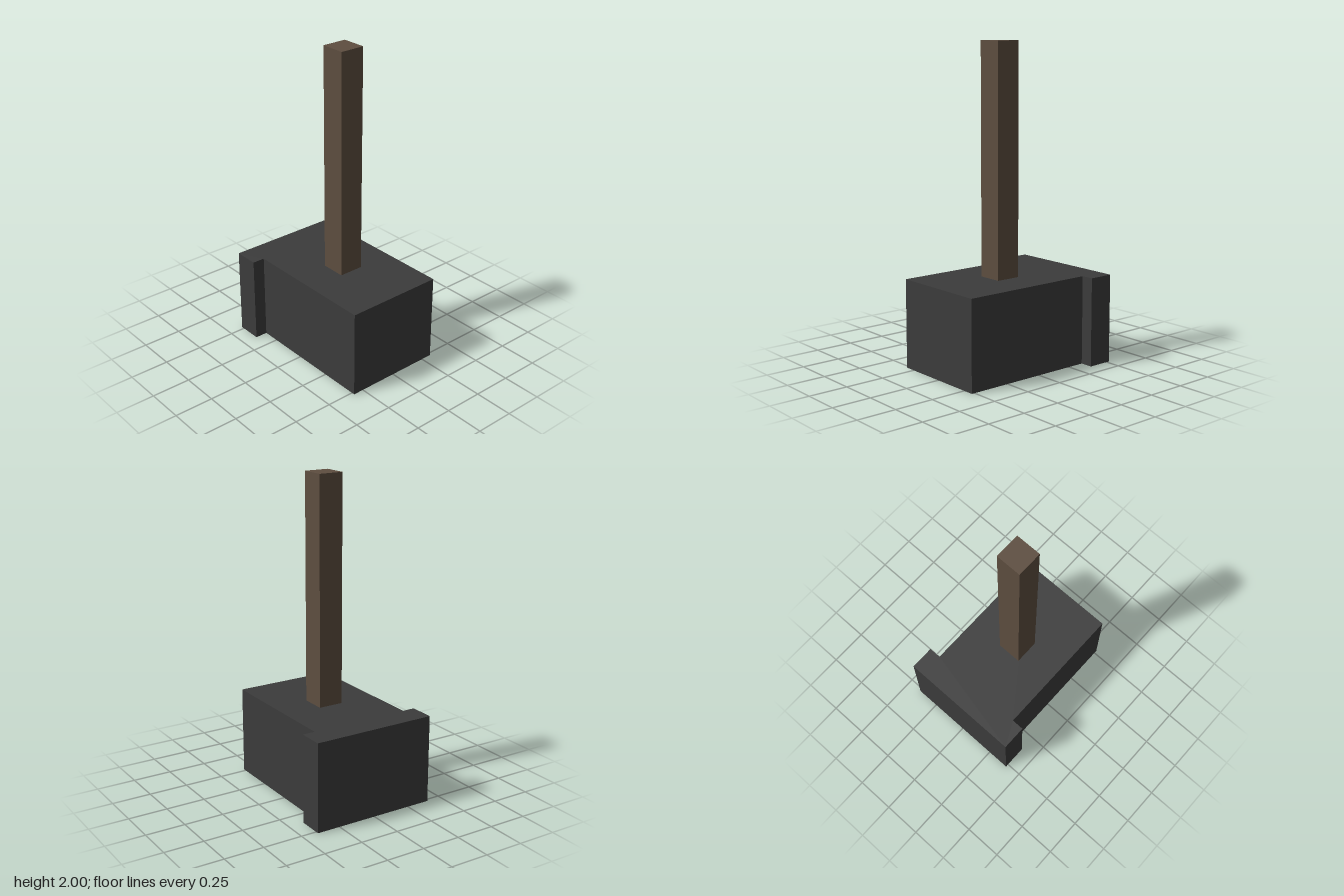
import * as THREE from 'three';

export function createModel() {
  const model = new THREE.Group();
  const iron = new THREE.MeshStandardMaterial({ name: 'dark iron', color: 0x3c3c3c });
  const wood = new THREE.MeshStandardMaterial({ name: 'brown wood', color: 0x5e4e40 });

  // Hammer head: a block with a wider striking face at -x, extruded upwards
  const footprint = new THREE.Shape([
    [-0.52, -0.4], [-0.36, -0.4], [-0.36, -0.32], [0.52, -0.32],
    [0.52, 0.32], [-0.36, 0.32], [-0.36, 0.4], [-0.52, 0.4],
  ].map(([x, z]) => new THREE.Vector2(x, z)));
  const headGeometry = new THREE.ExtrudeGeometry(footprint, { depth: 0.56, bevelEnabled: false });
  headGeometry.rotateX(-Math.PI / 2);
  const head = new THREE.Mesh(headGeometry, iron);
  head.name = 'hammerHead';

  // Square handle standing on the head, slightly off centre
  const handle = new THREE.Mesh(new THREE.BoxGeometry(0.16, 1.44, 0.16), wood);
  handle.name = 'handle';
  handle.position.set(0.04, 1.28, 0);

  model.add(head, handle);
  return model;
}
